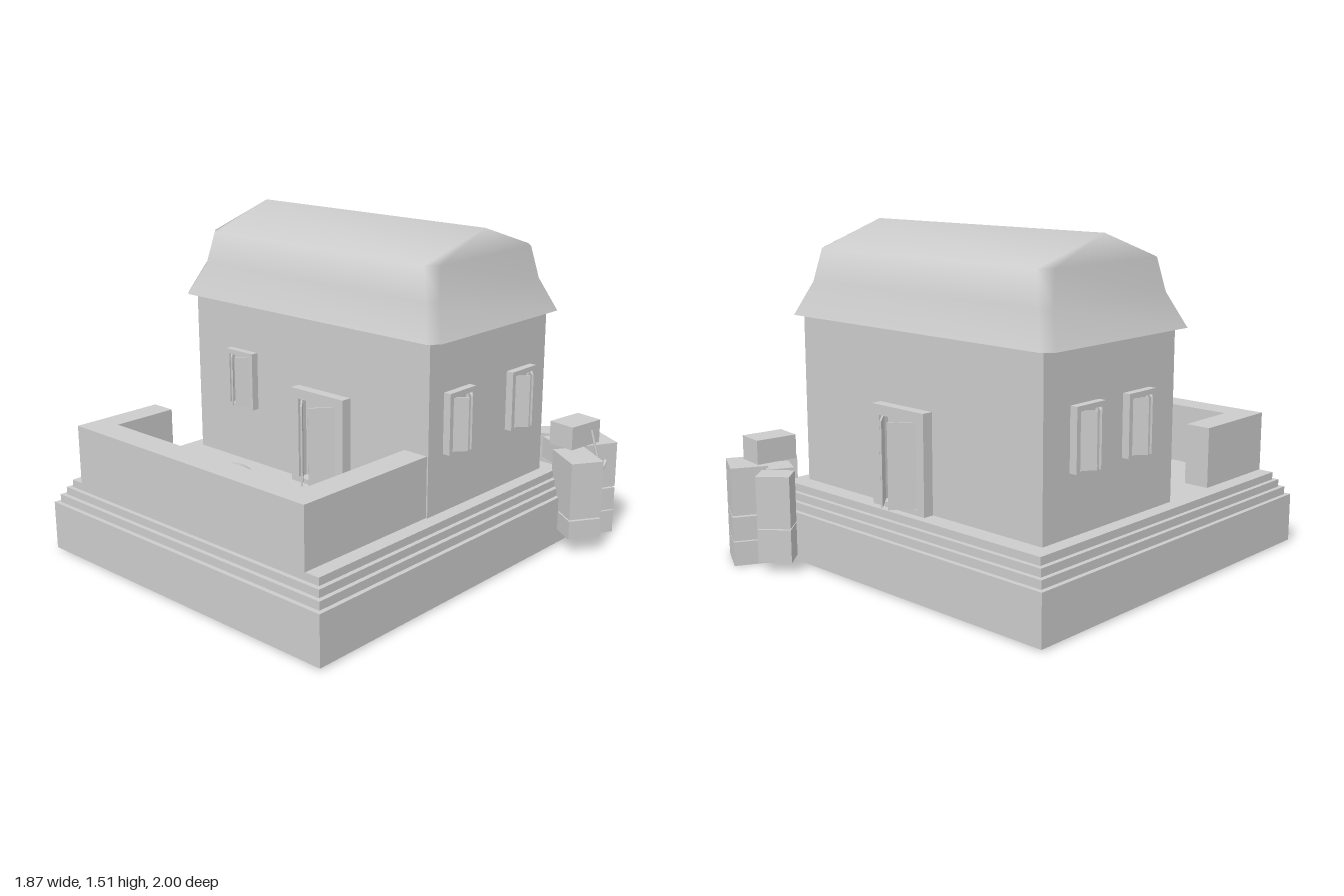
import * as THREE from 'three';
import { mergeVertices } from 'three/addons/utils/BufferGeometryUtils.js';

const grey = new THREE.MeshStandardMaterial({ color: 0xcccccc });
const thin = new THREE.MeshStandardMaterial({ color: 0xcccccc, side: THREE.DoubleSide });

function add(parent, name, geometry, x = 0, y = 0, z = 0, ry = 0, material = grey) {
  const mesh = new THREE.Mesh(geometry, material);
  mesh.name = name;
  mesh.position.set(x, y, z);
  mesh.rotation.y = ry;
  parent.add(mesh);
  return mesh;
}

// Box given by its minimum and maximum on each axis
function block(parent, name, x0, x1, y0, y1, z0, z1) {
  return add(parent, name, new THREE.BoxGeometry(x1 - x0, y1 - y0, z1 - z0),
    (x0 + x1) / 2, (y0 + y1) / 2, (z0 + z1) / 2);
}

// Rectangle with cut corners at height y, running counter-clockwise from above
function ring(y, x0, x1, z0, z1, c = 0) {
  return [[x0 + c, z1], [x1 - c, z1], [x1, z1 - c], [x1, z0 + c],
    [x1 - c, z0], [x0 + c, z0], [x0, z0 + c], [x0, z1 - c]].map(([x, z]) => [x, y, z]);
}

// Skin over stacked rings, smooth or flat, with an optional lid on the last one
function loft(rings, { lid = false, flat = false } = {}) {
  const index = [];
  const n = 8;
  for (let r = 0; r < rings.length - 1; r++) {
    for (let i = 0; i < n; i++) {
      const a = r * n + i, b = r * n + (i + 1) % n;
      index.push(a, b, a + n, b, b + n, a + n);
    }
  }
  const top = (rings.length - 1) * n;
  if (lid) for (let i = 1; i < n - 1; i++) index.push(top, top + i, top + i + 1);
  let g = new THREE.BufferGeometry();
  g.setAttribute('position', new THREE.Float32BufferAttribute(rings.flat(2), 3));
  g.setIndex(index);
  g = flat ? g.toNonIndexed() : mergeVertices(g);
  g.computeVertexNormals();
  return g;
}

// Framed opening with two leaves ajar; faces +z, base centre at the origin
function opening(parent, name, o, x, y, z, ry) {
  const group = new THREE.Group();
  group.name = name;
  group.position.set(x, y, z);
  group.rotation.y = ry;
  parent.add(group);
  const { w, h, depth, reach, rim, gap } = o;
  const rect = (Type, hw, y0, y1) => new Type([[-hw, y0], [hw, y0], [hw, y1], [-hw, y1]]
    .map(([px, py]) => new THREE.Vector2(px, py)));
  const shape = rect(THREE.Shape, w / 2, 0, h);
  shape.holes.push(rect(THREE.Path, w / 2 - rim, rim / 2, h - rim));
  add(group, 'frame', new THREE.ExtrudeGeometry(shape, { depth, bevelEnabled: false }));
  const hinge = w / 2 - rim;
  const dx = hinge - gap, dz = reach - depth * 0.5;
  for (const s of [-1, 1]) {
    add(group, 'leaf', new THREE.BoxGeometry(Math.hypot(dx, dz), h - rim * 1.5, 0.008),
      s * (hinge + gap) / 2, (h - rim / 2) / 2, reach - dz / 2, s * Math.atan2(dz, dx));
  }
}

export function createModel() {
  const model = new THREE.Group();
  model.name = 'house';

  // Hollow stepped base, open underneath
  const level = (y, k) => ring(y, -0.935 + k * 0.021, 0.748 - k * 0.021, -0.775 + k * 0.021, 1 - k * 0.021);
  const heights = [0.008, 0.233, 0.27, 0.305, 0.34];
  const steps = [0, 1, 2, 3].flatMap((k) => [level(heights[k], k), level(heights[k + 1], k)]);
  add(model, 'steppedBase', loft(steps, { lid: true, flat: true }), 0, 0, 0, 0, thin);
  add(model, 'baseCeiling', loft([level(0.25, 1)], { lid: true, flat: true }), 0, 0, 0, 0, thin);

  // House walls, running up inside the roof
  block(model, 'walls', -0.805, 0.62, 0.34, 1.17, -0.625, 0.21);

  // Terrace parapet, open on the left of the front
  block(model, 'parapetFront', -0.8, 0.613, 0.34, 0.615, 0.81, 0.94);
  block(model, 'parapetLong', 0.49, 0.613, 0.34, 0.615, 0.21, 0.81);
  block(model, 'parapetShort', -0.8, -0.68, 0.34, 0.615, 0.5, 0.81);

  // Bell-shaped roof with flared eaves and a thin lip beneath
  const eaves = ring(1.105, -0.868, 0.677, -0.672, 0.255, 0.045);
  add(model, 'roof', loft([
    eaves,
    ring(1.255, -0.8, 0.612, -0.605, 0.185, 0.04),
    ring(1.4, -0.776, 0.588, -0.58, 0.16, 0.05),
    ring(1.515, -0.755, 0.57, -0.21, -0.21),
  ]), 0, 0, 0, 0, thin);
  add(model, 'roofLip', loft([ring(1.125, -0.845, 0.654, -0.649, 0.232, 0.04), eaves], { flat: true }));

  // Doors and windows
  const door = { w: 0.315, h: 0.44, depth: 0.05, reach: 0.125, rim: 0.045, gap: 0.02 };
  const win = { w: 0.175, h: 0.27, depth: 0.035, reach: 0.072, rim: 0.022, gap: 0.01 };
  opening(model, 'frontDoor', door, 0.025, 0.34, 0.21, 0);
  opening(model, 'backDoor', door, -0.043, 0.34, -0.625, Math.PI);
  opening(model, 'frontWindow', win, -0.487, 0.61, 0.21, 0);
  for (const z of [0.025, -0.42]) opening(model, 'sideWindow', win, 0.62, 0.602, z, Math.PI / 2);
  for (const z of [-0.05, -0.38]) opening(model, 'sideWindow', win, -0.805, 0.602, z, -Math.PI / 2);

  // Things lying on the terrace
  const chest = new THREE.CylinderGeometry(0.158, 0.158, 0.355, 24, 1, false, Math.PI / 2, Math.PI);
  chest.rotateX(Math.PI / 2);
  add(model, 'roundedChest', chest, 0.335, 0.34, 0.6, 0, thin);
  for (const [x, z, rx, ry, rz] of [[-0.15, 0.607, 0.11, 0.08, 0.105], [-0.025, 0.605, 0.095, 0.07, 0.085]]) {
    add(model, 'sack', new THREE.SphereGeometry(1, 20, 14), x, 0.34 + ry, z).scale.set(rx, ry, rz);
  }
  [[-0.19, 0.775, 0], [-0.145, 0.778, 0.2], [-0.045, 0.765, 0.15], [0.085, 0.757, 0.25], [0.13, 0.772, 0]]
    .forEach(([x, z, ry]) =>
      add(model, 'brick', new THREE.BoxGeometry(0.1, 0.045, 0.04), x, 0.362, z, ry));
  const handle = new THREE.CylinderGeometry(0.006, 0.006, 0.19, 8).rotateZ(Math.PI / 2);
  add(model, 'ladleHandle', handle, 0.335, 0.36, 0.33, -0.2);
  add(model, 'ladleBowl', new THREE.SphereGeometry(0.025, 12, 8), 0.43, 0.365, 0.352);

  // Stacked crates at the back corner: x, z, turn, width, depth, layers of [bottom, top]
  const crates = [
    [0.512, -0.895, 0.7, 0.148, 0.115, [[0.05, 0.2], [0.205, 0.44]]],
    [0.735, -0.885, -0.5, 0.195, 0.165, [[0, 0.11], [0.115, 0.225], [0.232, 0.45]]],
    [0.62, -0.8, -0.45, 0.13, 0.12, [[0.34, 0.44]]],
    [0.71, -0.775, -0.14, 0.135, 0.195, [[0.45, 0.56]]],
    [0.807, -0.655, -0.58, 0.215, 0.155, [[0.075, 0.163], [0.17, 0.44]]],
  ];
  for (const [x, z, ry, w, d, layers] of crates) {
    for (const [y0, y1] of layers) {
      add(model, 'crate', new THREE.BoxGeometry(w, y1 - y0, d), x, (y0 + y1) / 2, z, ry);
    }
  }

  // Pickaxe leaning head-down against the crates
  const pick = new THREE.Group();
  pick.name = 'pickaxe';
  pick.position.set(0.85, 0.345, -0.785);
  pick.rotation.z = 0.3;
  model.add(pick);
  add(pick, 'pickHandle', new THREE.CylinderGeometry(0.006, 0.006, 0.19, 8), 0, 0.095, 0);
  const head = new THREE.QuadraticBezierCurve3(new THREE.Vector3(0, 0.03, -0.06),
    new THREE.Vector3(0, -0.03, 0), new THREE.Vector3(0, 0.03, 0.06));
  add(pick, 'pickHead', new THREE.TubeGeometry(head, 10, 0.009, 6));

  return model;
}
